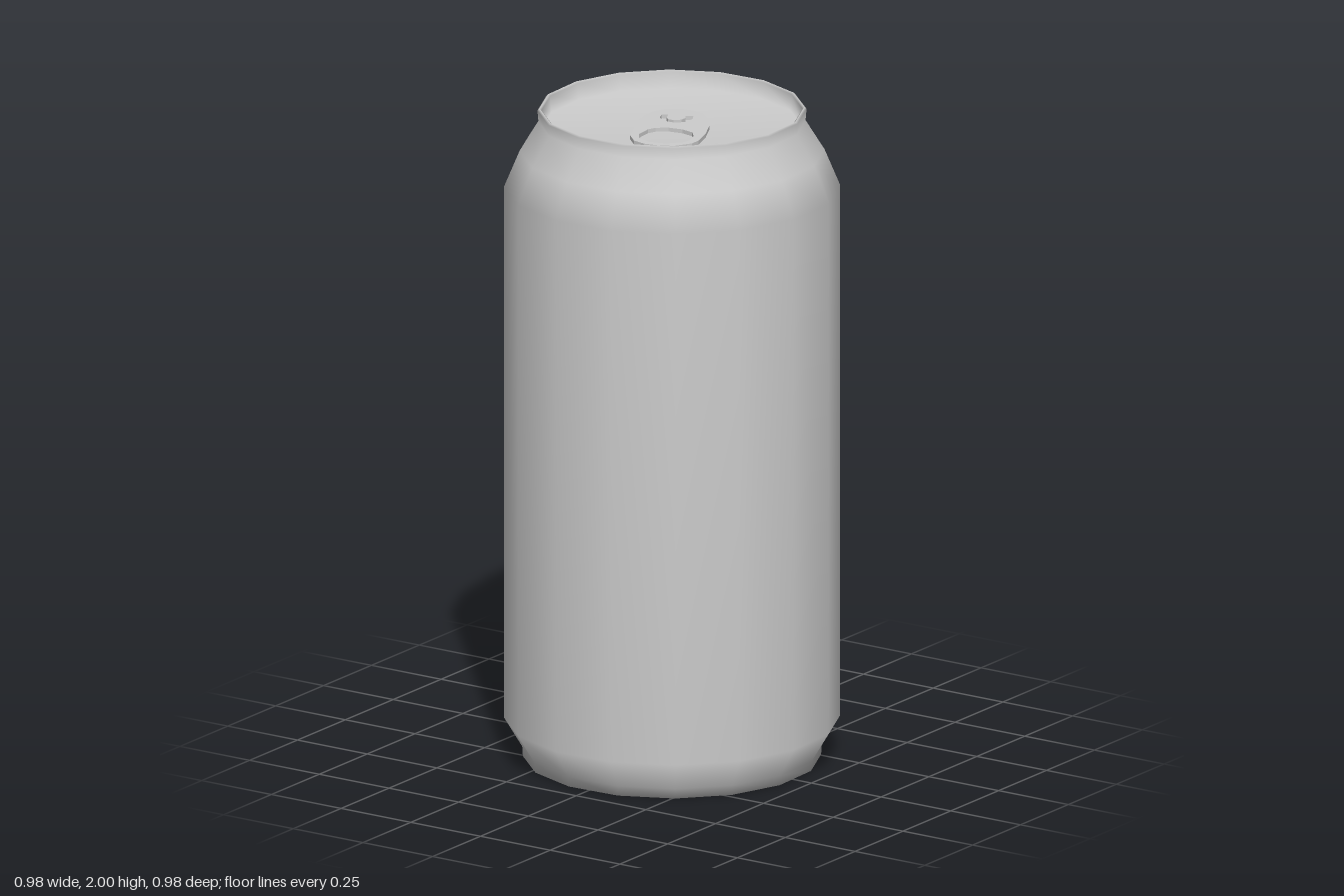
import * as THREE from 'three';

const SIDES = 16;
const LID_Y = 1.945;

const vectors = (pairs) => pairs.map(([x, y]) => new THREE.Vector2(x, y));
// Plan coordinates (x, z) to shape coordinates, which are laid flat afterwards
const plan = (pairs) => vectors(pairs.map(([x, z]) => [x, -z]));

function createModel() {
  const can = new THREE.Group();
  can.name = 'drinkCan';
  const material = new THREE.MeshStandardMaterial({ color: 0xcccccc, side: THREE.DoubleSide });

  // Body: base, wall, shoulder, rim and recessed lid in one smooth profile
  const profile = vectors([
    [0, 0], [0.441, 0], [0.443, 0.03], [0.497, 0.12],
    [0.497, 1.76], [0.451, 1.87], [0.395, 1.96],
    [0.398, 1.995], [0.392, 2], [0.386, 1.995],
    [0.383, LID_Y], [0, LID_Y],
  ]);
  const body = new THREE.Mesh(
    new THREE.LatheGeometry(profile, SIDES, THREE.MathUtils.degToRad(13.2)), material);
  body.name = 'canBody';
  can.add(body);

  // Pull tab: egg-shaped plate with a finger hole and a curved slot
  const tabShape = new THREE.Shape(plan([
    [-0.01, -0.122], [0.03, -0.115], [0.08, -0.075], [0.12, -0.02], [0.155, 0.05],
    [0.178, 0.12], [0.178, 0.155], [0.15, 0.205], [0.108, 0.228], [0.063, 0.237],
    [0.02, 0.228], [-0.02, 0.19], [-0.06, 0.105], [-0.09, 0.035], [-0.1, 0],
    [-0.1, -0.05], [-0.085, -0.09], [-0.05, -0.115],
  ]));
  const fingerHole = new THREE.Path(plan([
    [-0.01, 0.11], [0, 0.085], [0.03, 0.062], [0.075, 0.054], [0.115, 0.062], [0.14, 0.09],
    [0.155, 0.135], [0.15, 0.16], [0.115, 0.2], [0.065, 0.213], [0.02, 0.2], [-0.005, 0.165],
  ]));
  const curvedSlot = new THREE.Path(plan([
    [-0.063, -0.038], [-0.045, -0.046], [-0.034, -0.022], [-0.021, -0.009], [0, -0.009],
    [0.016, -0.027], [0.016, -0.048], [0.005, -0.064], [0.024, -0.077], [0.039, -0.051],
    [0.037, -0.012], [0.018, 0.009], [-0.024, 0.014], [-0.05, -0.009],
  ]));
  tabShape.holes.push(fingerHole, curvedSlot);
  const tabGeometry = new THREE.ExtrudeGeometry(tabShape, { depth: 0.012, bevelEnabled: false });
  tabGeometry.rotateX(-Math.PI / 2);
  const tab = new THREE.Mesh(tabGeometry, material);
  tab.name = 'pullTab';
  tab.position.y = LID_Y + 0.003;
  can.add(tab);

  return can;
}

export { createModel };
